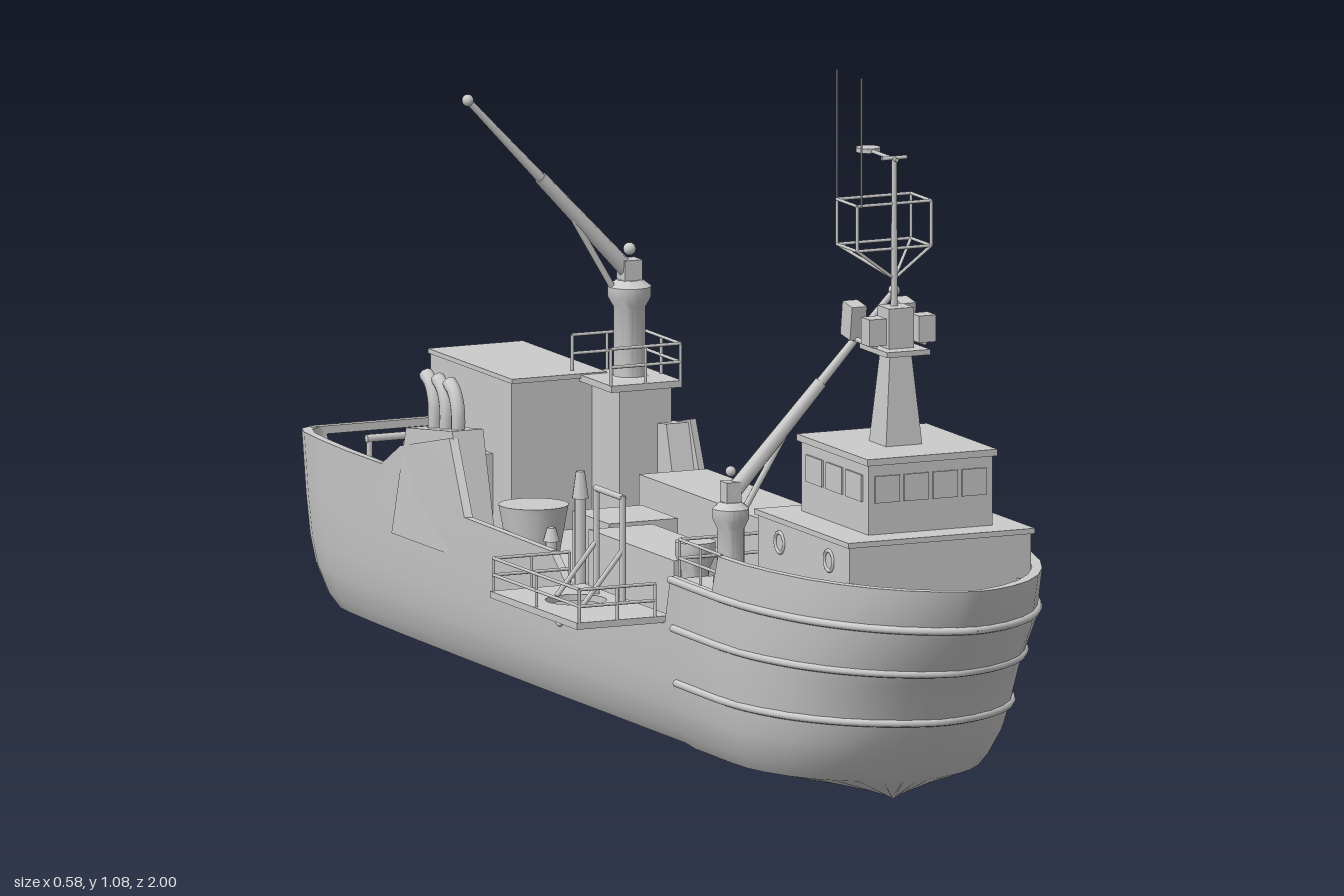
import * as THREE from 'three';
import { toCreasedNormals } from 'three/addons/utils/BufferGeometryUtils.js';

const CX = 0.06; // hull centreline
const V = (x, y, z) => new THREE.Vector3(x, y, z);
const mat = new THREE.MeshStandardMaterial({ color: 0xcccccc });

// Piecewise-linear lookup in rows sorted by their first column
function look(rows, x, col = 1) {
  if (x <= rows[0][0]) return rows[0][col];
  for (let i = 1; i < rows.length; i++) {
    const a = rows[i - 1], b = rows[i];
    if (x <= b[0] && b[0] > a[0]) return a[col] + (b[col] - a[col]) * (x - a[0]) / (b[0] - a[0]);
  }
  return rows[rows.length - 1][col];
}

// Hull stations: lengthwise position, half width, bulwark top, deck height
const STATIONS = [
  [-1, 0, .215, .2], [-1, .125, .215, .2], [-1, .14, .285, .2], [-1, .15, .295, .2],
  [-.99, .167, .295, .2], [-.96, .177, .295, .2], [-.9, .183, .295, .2], [-.8, .188, .295, .2],
  [-.66, .193, .297, .2], [-.59, .195, .335, .2], [-.41, .2, .375, .2], [-.36, .201, .265, .2],
  [-.05, .207, .265, .2], [0, .207, .222, .2], [.35, .212, .222, .2], [.4, .222, .3, .2],
  [.4, .222, .3, .295], [.55, .225, .3, .295], [.57, .225, .357, .295], [.65, .222, .357, .295],
  [.72, .211, .357, .295], [.8, .19, .357, .295], [.86, .165, .357, .295], [.91, .135, .357, .295],
  [.95, .1, .357, .295], [.98, .06, .357, .295], [.995, .026, .357, .295], [1, 0, .357, .295]];
const SECTION = [[0, 0], [.04, .82], [.06, .88], [.1, .93], [.14, .957], [.2, .975], [.3, 1]];
const BOW = [[0, .7], [.02, .76], [.1, .84], [.2, .9], [.28, .975], [.357, 1]];
const STERN = [[0, -.84], [.025, -.92], [.08, -.97], [.16, -.99], [.295, -1]];

function hullPoint(zn, half, y, side, inset = 0) {
  let z = zn;
  if (zn > .5) z = .5 + (zn - .5) * (look(BOW, y) - .5) / .5;
  if (zn < -.7) z = -.7 + (zn + .7) * (-.7 - look(STERN, y)) / .3;
  return V(CX + side * Math.max(0, half * look(SECTION, y) - inset), y, z * (1 - inset));
}

function hullGeometry() {
  const pos = [];
  for (const side of [1, -1]) {
    const rings = STATIONS.map(([zn, half, top, deck]) => {
      const ys = [0, .04, .06, .1, .14, .2, (.2 + top) / 2, top];
      const ring = ys.map(y => hullPoint(zn, half, y, side));
      const inner = hullPoint(zn, half, top, side, .012);
      const floor = inner.clone().setY(deck);
      return [...ring, inner, floor, floor.clone().setX(CX)];
    });
    for (let i = 0; i + 1 < rings.length; i++) for (let j = 0; j + 1 < rings[i].length; j++) {
      const a = rings[i][j], b = rings[i][j + 1], c = rings[i + 1][j + 1], d = rings[i + 1][j];
      const tris = side > 0 ? [a, b, c, a, c, d] : [a, c, b, a, d, c];
      tris.forEach(p => pos.push(p.x, p.y, p.z));
    }
  }
  const g = new THREE.BufferGeometry();
  g.setAttribute('position', new THREE.Float32BufferAttribute(pos, 3));
  return toCreasedNormals(g, .6);
}

export function createModel() {
  const root = new THREE.Group();
  root.name = 'supplyShip';
  const add = (name, geo, p = V(0, 0, 0)) => {
    const m = new THREE.Mesh(geo, mat);
    m.name = name;
    m.position.copy(p);
    root.add(m);
    return m;
  };
  const box = (name, x0, x1, y0, y1, z0, z1) => add(name, new THREE.BoxGeometry(x1 - x0, y1 - y0, z1 - z0),
    V((x0 + x1) / 2, (y0 + y1) / 2, (z0 + z1) / 2));
  const bar = (name, a, b, r0 = .003, r1 = r0, n = 8) => {
    const m = add(name, new THREE.CylinderGeometry(r1, r0, a.distanceTo(b), n), a.clone().add(b).multiplyScalar(.5));
    m.quaternion.setFromUnitVectors(V(0, 1, 0), b.clone().sub(a).normalize());
    return m;
  };
  const tube = (name, pts, r, n = 24) => add(name, new THREE.TubeGeometry(new THREE.CatmullRomCurve3(pts), n, r, 8));
  const lathe = (name, pts, p) => add(name, toCreasedNormals(
    new THREE.LatheGeometry(pts.map(q => new THREE.Vector2(...q)), 20), .6), p);
  // Railing: posts and two rails along a polyline
  const railing = (name, pts, h) => {
    pts.forEach((p, i) => {
      bar(name, p, p.clone().setY(p.y + h), .0025);
      const q = pts[i + 1];
      if (!q) return;
      for (const f of [.5, 1]) bar(name, p.clone().setY(p.y + h * f), q.clone().setY(q.y + h * f), .0025);
      const mid = p.clone().lerp(q, .5);
      bar(name, mid, mid.clone().setY(mid.y + h), .0025);
    });
  };

  // Hull, rubbing strakes, bulwark stays and stern bar
  add('hull', hullGeometry());
  const bowZ = [.4, .5, .6, .7, .8, .86, .91, .95, .98, 1];
  for (const y of [.14, .222, .295]) {
    const arc = s => bowZ.map(z => hullPoint(z, look(STATIONS, z), y, s));
    tube('rubbingStrake', [...arc(1), ...arc(-1).reverse().slice(1)], .006, 80);
  }
  for (const s of [1, -1]) {
    for (const z of [.6, .65, .7, .75, .8, .85, .9, .94, .97]) {
      const p = hullPoint(z, look(STATIONS, z), .33, s, .018);
      const stay = add('bulwarkStay', new THREE.BoxGeometry(.018, .05, .004), p.setY(.322));
      stay.rotation.y = Math.atan2(-(p.z - .6), p.x - CX);
    }
    const port = add('hullPort', new THREE.TorusGeometry(.012, .003, 8, 20), hullPoint(-.03, .207, .17, s));
    port.rotation.y = Math.PI / 2;
  }
  box('sternBar', CX - .15, CX + .15, .284, .296, -1, -.988);

  // Deckhouse, wheelhouse and their windows
  box('deckhouse', -.088, .207, .295, .412, .545, .86);
  box('deckhouseRoof', -.092, .211, .41, .418, .54, .865);
  box('wheelhouse', -.036, .165, .415, .525, .585, .815);
  box('wheelhouseRoof', -.041, .17, .522, .532, .578, .822);
  for (let i = 0; i < 4; i++) box('frontWindow', -.026 + i * .047, .014 + i * .047, .465, .505, .813, .818);
  for (const x of [-.036, .165]) for (let i = 0; i < 3; i++)
    box('sideWindow', x - .003, x + .003, .465, .505, .605 + i * .068, .66 + i * .068);
  for (const x of [-.088, .207]) for (const z of [.62, .79])
    add('porthole', new THREE.TorusGeometry(.015, .003, 8, 20), V(x, .38, z)).rotation.y = Math.PI / 2;
  box('deckhouseDoor', .02, .07, .3, .39, .541, .547);

  // Mast with radar, lamps, cage and aerials
  const mast = add('mast', new THREE.CylinderGeometry(.024, .042, .145, 4, 1).rotateY(Math.PI / 4).toNonIndexed(), V(CX, .6, .705));
  mast.geometry.computeVertexNormals();
  box('mastPlatform', .025, .095, .667, .675, .655, .75);
  box('radarUnit', .04, .08, .675, .735, .685, .725);
  for (const x of [.02, .1]) {
    box('lamp', x - .014, x + .014, .682, .722, .7, .73);
    box('lampHood', x - .012, x + .012, .682, .733, .628, .662).rotation.x = .15;
    bar('lampArm', V(x, .68, .64), V(x, .68, .72), .004);
  }
  bar('lampBeam', V(.01, .69, .7), V(.11, .69, .7), .004);
  bar('mastPole', V(CX, .67, .7), V(CX, .955, .7), .006, .004);
  bar('poleArm', V(CX, .953, .71), V(CX, .953, .6), .003);
  bar('poleCrossbar', V(.04, .955, .7), V(.08, .955, .7), .003);
  bar('dishAerial', V(CX, .95, .61), V(CX, .957, .61), .018, .018, 16);
  const cage = [V(0, 0, .7), V(.12, 0, .7), V(.12, 0, .63), V(0, 0, .63)];
  cage.forEach((p, i) => {
    const q = cage[(i + 1) % 4];
    for (const y of [.82, .887]) bar('mastCage', p.clone().setY(y), q.clone().setY(y), .0025);
    bar('mastCage', p.clone().setY(.82), p.clone().setY(.887), .0025);
    bar('cageBrace', V(CX, .775, .7), p.clone().setY(.82), .0025);
  });
  bar('aerial', V(0, .887, .715), V(0, 1.08, .715), .0015);
  bar('aerial', V(0, .82, .63), V(0, 1.08, .63), .0015);

  // Deck cranes: pedestal, turret, boom, ram and hook head
  const crane = (name, x, z, y0, y1, r, tip) => {
    const h = y1 - y0;
    lathe(name + 'Pedestal', [[0, 0], [r * 1.3, 0], [r * 1.3, .01], [r, .012], [r, h - .04], [r * 1.35, h - .025],
      [r * 1.35, h - .01], [r * .8, h], [0, h]], V(x, y0, z));
    const foot = V(x, y1 + .01, z), dir = tip.clone().sub(foot);
    box(name + 'Turret', x - r * .6, x + r * .6, y1 - .005, y1 + .03, z - r * .6, z + r * .6);
    add(name + 'Motor', new THREE.SphereGeometry(r * .4, 12, 8), V(x, y1 + .045, z));
    bar(name + 'Boom', foot, foot.clone().addScaledVector(dir, .55), .013, .01);
    bar(name + 'BoomTip', foot.clone().addScaledVector(dir, .5), tip, .008, .005);
    bar(name + 'Ram', V(x + Math.sign(dir.x) * r * .9, y1 - .02, z), foot.clone().addScaledVector(dir, .4), .005);
    add(name + 'Head', new THREE.SphereGeometry(.009, 10, 8), tip);
  };
  crane('foreCrane', -.09, .455, .295, .415, .02, V(.175, .71, .455));
  crane('aftCrane', .19, -.49, .42, .575, .024, V(-.07, .86, -.495));
  box('aftCraneBase', .15, .235, .2, .425, -.54, -.44);
  box('aftCranePlatform', .13, .245, .42, .43, -.56, -.425);
  railing('aftCraneRail', [V(.13, .43, -.56), V(.243, .43, -.56), V(.243, .43, -.427), V(.13, .43, -.427)], .055);

  // Forecastle rails, liferafts and capstan
  railing('forecastleRail', [V(CX + .214, .3, .56), V(CX + .212, .3, .41), V(CX - .212, .3, .41), V(CX - .214, .3, .56)], .056);
  add('liferaft', new THREE.CapsuleGeometry(.024, .05, 6, 14).rotateX(Math.PI / 2), V(.235, .345, .5));
  lathe('capstan', [[0, 0], [.024, 0], [.02, .1], [.03, .125], [.03, .145], [0, .145]], V(-.11, .2, .375));

  // Aft house and stern fittings
  box('aftHouse', .02, .17, .2, .43, -.815, -.535);
  box('aftHouseRoof', .018, .172, .425, .432, -.82, -.53);
  box('sternLocker', -.055, .02, .2, .31, -.75, -.6);
  box('sternWinch', .05, .13, .2, .29, -.86, -.81);
  bar('sternPipe', V(-.07, .3, -.845), V(.14, .3, -.845), .006);
  for (const x of [-.065, .135]) bar('sternPipePost', V(x, .2, -.845), V(x, .3, -.845), .005);
  for (const x of [.178, .2]) bar('ladderSide', V(x, .42, -.56), V(x, .22, -.68), .003);
  for (let i = 1; i < 9; i++) bar('ladderRung', V(.178, .42 - i * .022, -.56 - i * .0133), V(.2, .42 - i * .022, -.56 - i * .0133), .0025);

  // Funnel casings inside the raised bulwarks, with exhaust pipes to one side
  const casing = (x1, w, top) => {
    const s = new THREE.Shape([[-.62, .2], [-.36, .2], [-.41, top], [-.57, top - .02]].map(q => new THREE.Vector2(...q)));
    add('funnelCasing', new THREE.ExtrudeGeometry(s, { depth: w, bevelEnabled: false }).rotateY(-Math.PI / 2), V(x1, 0, 0));
  };
  casing(-.085, .05, .385);
  casing(.252, .04, .37);
  for (const z of [-.44, -.48, -.52])
    tube('exhaustPipe', [V(-.112, .36, z), V(-.112, .41, z), V(-.112, .435, z - .012), V(-.112, .447, z - .03)], .011, 12).material =
      Object.assign(mat.clone(), { side: THREE.DoubleSide });

  // Cargo and machinery on the main deck
  box('longContainer', .135, .245, .2, .312, -.34, .21);
  lathe('tank', [[0, 0], [.034, 0], [.05, .09], [.052, .1], [0, .1]], V(-.083, .2, -.24));
  box('deckCrate', -.055, .057, .2, .3, -.165, -.04);
  box('deckLocker', .01, .062, .2, .26, .05, .235);
  box('sideHouse', -.13, -.026, .2, .312, .05, .345);
  for (const z of [0, -.1]) {
    bar('ventPipe', V(-.12, .2, z), V(-.12, z ? .27 : .36, z), .009);
    bar('ventCap', V(-.12, z ? .27 : .35, z), V(-.12, z ? .29 : .39, z), .013, .007);
  }

  // Side platform with a round well, railing and gantry
  const deck = new THREE.Shape([[-.288, -.345], [-.135, -.345], [-.135, -.045], [-.288, -.045]].map(q => new THREE.Vector2(...q)));
  deck.holes.push(new THREE.Path().absarc(-.205, -.165, .045, 0, Math.PI * 2, true));
  add('sidePlatform', new THREE.ExtrudeGeometry(deck, { depth: .01, bevelEnabled: false, curveSegments: 24 }).rotateX(-Math.PI / 2), V(0, .221, 0));
  railing('platformRail', [V(-.16, .23, .343), V(-.283, .23, .343), V(-.283, .23, .047), V(-.16, .23, .047)], .05);
  for (const z of [.13, .22]) {
    bar('gantryPost', V(-.155, .22, z), V(-.155, .39, z), .005);
    bar('platformBrace', V(-.22, .232, z), V(-.155, .31, z), .004);
  }
  bar('gantryBeam', V(-.155, .388, .127), V(-.155, .388, .223), .005);

  return root;
}
